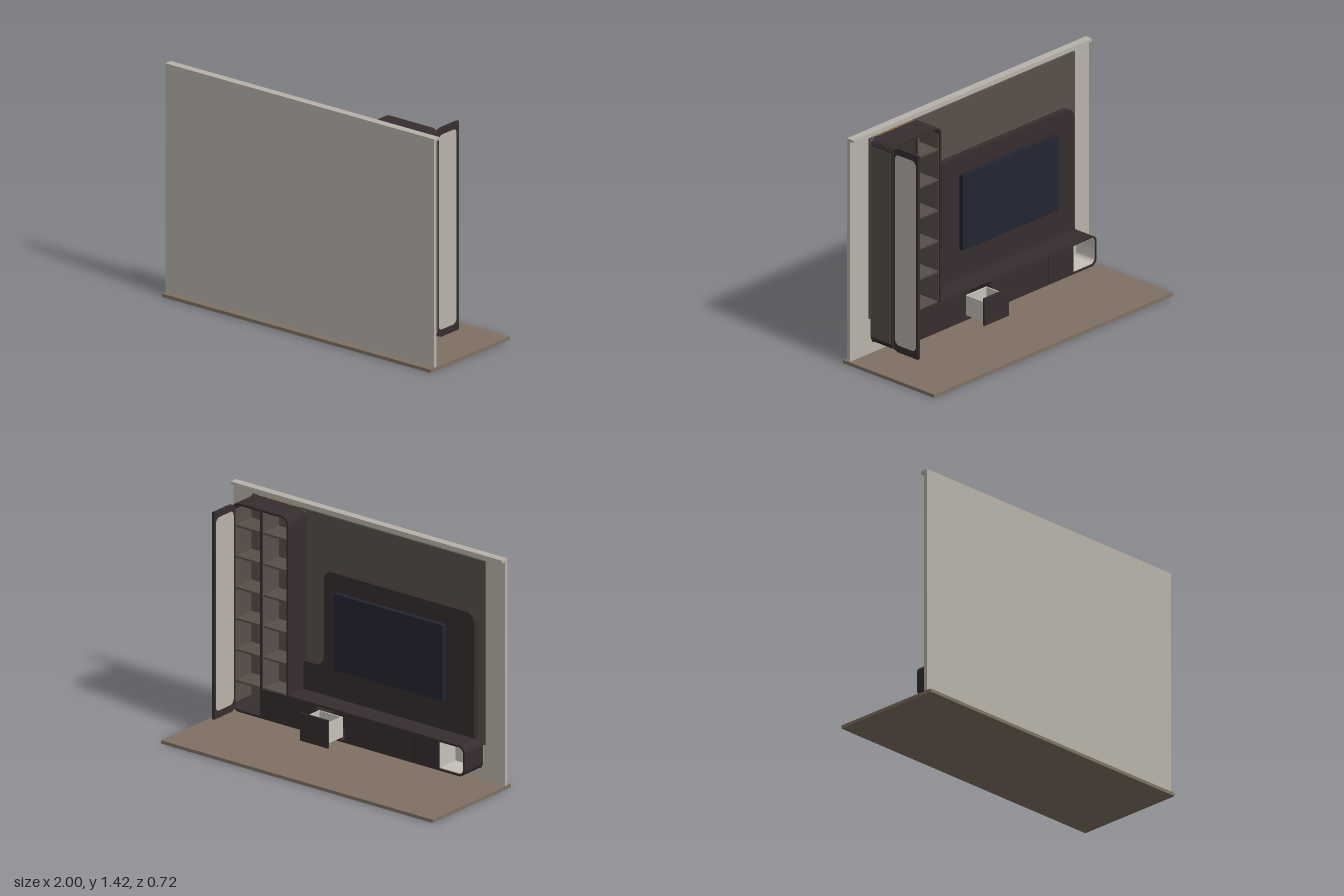
import * as THREE from 'three';
import { toCreasedNormals } from 'three/addons/utils/BufferGeometryUtils.js';

const mat = (name, color) => {
  const m = new THREE.MeshStandardMaterial({ color });
  m.name = name;
  return m;
};

// Rectangle with its own radius at each corner: lower-left, lower-right, upper-right, upper-left
function roundRect(x0, y0, x1, y1, [ll, lr, ur, ul], Kind = THREE.Shape) {
  const s = new Kind(), H = Math.PI / 2;
  s.moveTo(x0 + ll, y0);
  s.lineTo(x1 - lr, y0);
  if (lr) s.absarc(x1 - lr, y0 + lr, lr, -H, 0);
  s.lineTo(x1, y1 - ur);
  if (ur) s.absarc(x1 - ur, y1 - ur, ur, 0, H);
  s.lineTo(x0 + ul, y1);
  if (ul) s.absarc(x0 + ul, y1 - ul, ul, H, 2 * H);
  s.lineTo(x0, y0 + ll);
  if (ll) s.absarc(x0 + ll, y0 + ll, ll, 2 * H, 3 * H);
  return s;
}

// Hollow frame with wall thickness t
function ring(x0, y0, x1, y1, radii, t) {
  const s = roundRect(x0, y0, x1, y1, radii);
  const inner = radii.map(r => Math.max(r - t, 0));
  s.holes.push(roundRect(x0 + t, y0 + t, x1 - t, y1 - t, inner, THREE.Path));
  return s;
}

function extrude(shape, z0, z1) {
  const g = new THREE.ExtrudeGeometry(shape, { depth: z1 - z0, bevelEnabled: false, curveSegments: 10 });
  g.translate(0, 0, z0);
  return toCreasedNormals(g, 0.6);
}

export function createModel() {
  const root = new THREE.Group();
  root.name = 'wallUnit';
  const plaster = mat('plaster', 0xb8b2a9), floorWood = mat('floorWood', 0x7f7162);
  const dark = mat('darkWood', 0x362d2e), brown = mat('brownPanel', 0x574f49);
  const cream = mat('cream', 0xc6c1b8), screen = mat('screen', 0x222431);
  const glow = mat('warmStrip', 0xd9a441);

  const add = (name, geo, m, parent = root) => {
    const mesh = new THREE.Mesh(geo, m);
    mesh.name = name;
    parent.add(mesh);
    return mesh;
  };
  // Box from its lowest and highest corner
  const box = (name, m, x0, x1, y0, y1, z0, z1, parent) => {
    const g = new THREE.BoxGeometry(x1 - x0, y1 - y0, z1 - z0);
    g.translate((x0 + x1) / 2, (y0 + y1) / 2, (z0 + z1) / 2);
    return add(name, g, m, parent);
  };
  const group = name => {
    const g = new THREE.Group();
    g.name = name;
    root.add(g);
    return g;
  };

  // Room: floor, wall and the ledge along the top
  box('floor', floorWood, -1, 1, 0, 0.02, -0.36, 0.36);
  box('wall', plaster, -1, 1, 0.025, 1.425, 0.305, 0.33);
  box('wallLedge', plaster, -1, 1, 1.408, 1.425, 0.28, 0.305);
  box('backPanel', brown, -0.867, 0.85, 0.25, 1.385, 0.288, 0.3);

  // Screen backboard: a tall field with a low step beside the cabinet
  const b = new THREE.Shape(), H = Math.PI / 2;
  b.moveTo(-0.82, 0.285);
  b.lineTo(0.44, 0.285);
  b.lineTo(0.44, 0.465);
  b.lineTo(0.35, 0.465);
  b.absarc(0.35, 0.525, 0.06, -H, -Math.PI, true);
  b.lineTo(0.29, 1.0);
  b.absarc(0.23, 1.0, 0.06, 0, H);
  b.lineTo(-0.76, 1.06);
  b.absarc(-0.76, 1.0, 0.06, H, Math.PI);
  b.lineTo(-0.82, 0.285);
  add('screenBackboard', extrude(b, 0.25, 0.287), dark);
  box('television', screen, -0.63, 0.17, 0.49, 0.96, 0.195, 0.225);
  box('televisionMount', dark, -0.33, -0.13, 0.62, 0.83, 0.225, 0.25);

  // Tall cabinet
  const tall = group('tallCabinet');
  add('tallShell', extrude(ring(0.44, 0.1, 0.855, 1.39, [0.05, 0, 0.05, 0.05].map((r, i) => [0, 0.05, 0.05, 0.05][i]), 0.013), 0.11, 0.28), dark, tall);
  box('tallBack', brown, 0.45, 0.845, 0.11, 1.38, 0.268, 0.279, tall);
  box('sidePanel', brown, 0.85, 0.857, 0.145, 1.345, 0.12, 0.28, tall);
  box('innerSide', brown, 0.837, 0.843, 0.15, 1.34, 0.12, 0.27, tall);
  box('innerSide', brown, 0.452, 0.456, 0.29, 1.34, 0.12, 0.27, tall);
  box('divider', brown, 0.635, 0.65, 0.11, 1.38, 0.12, 0.27, tall);
  box('dividerEdge', dark, 0.635, 0.65, 0.11, 1.38, 0.112, 0.12, tall);
  for (let i = 0; i < 6; i++) {
    const y = 0.28 + i * 0.192;
    box('shelf', brown, 0.65, 0.842, y - 0.006, y + 0.006, 0.125, 0.27, tall);
    box('shelf', brown, 0.453, 0.635, y - 0.006, y + 0.006, 0.125, 0.27, tall);
  }
  box('lowerFront', dark, 0.442, 0.635, 0.108, 0.283, 0.11, 0.122, tall);

  // Open cabinet door, swung out square to the cabinet
  const door = group('openDoor');
  const frame = roundRect(-0.11, 0.105, 0.085, 1.385, [0.04, 0, 0, 0.04]);
  const paneRadii = [0.035, 0.035, 0.035, 0.035];
  frame.holes.push(roundRect(-0.1, 0.147, 0.07, 1.345, paneRadii, THREE.Path));
  add('doorFrame', extrude(frame, 0.829, 0.845), dark, door);
  add('doorPane', extrude(roundRect(-0.1, 0.147, 0.07, 1.345, paneRadii), 0.833, 0.841), plaster, door);
  door.rotation.y = Math.PI / 2;

  // Low console with a rounded end
  const low = group('console');
  const endRadii = [0.045, 0, 0, 0.045];
  add('consoleShell', extrude(ring(-0.86, 0.1, 0.44, 0.29, endRadii, 0.012), 0.11, 0.28), dark, low);
  box('consoleBack', dark, -0.85, 0.44, 0.11, 0.28, 0.268, 0.279, low);
  for (const x of [0.235, 0.025, -0.456, -0.665]) {
    box('partition', dark, x - 0.005, x + 0.005, 0.11, 0.28, 0.114, 0.27, low);
  }
  for (const [x0, x1] of [[0.238, 0.438], [-0.454, 0.022], [-0.665, -0.458]]) {
    box('consoleFront', dark, x0, x1, 0.108, 0.282, 0.108, 0.12, low);
  }
  // Cream lining of the open end bay
  add('bayLining', extrude(ring(-0.848, 0.112, -0.67, 0.278, [0.033, 0, 0, 0.033], 0.005), 0.116, 0.268), cream, low);
  box('bayBack', cream, -0.845, -0.672, 0.115, 0.275, 0.258, 0.267, low);

  // Pulled-out drawer
  const drawer = group('drawer');
  box('drawerFront', dark, 0.03, 0.235, 0.108, 0.28, -0.037, -0.026, drawer);
  box('drawerBase', cream, 0.05, 0.222, 0.125, 0.133, -0.026, 0.125, drawer);
  for (const x of [0.05, 0.215]) box('drawerSide', cream, x, x + 0.008, 0.125, 0.25, -0.026, 0.125, drawer);
  box('drawerInnerFront', cream, 0.05, 0.222, 0.125, 0.25, -0.026, -0.02, drawer);
  box('drawerBack', cream, 0.05, 0.222, 0.125, 0.25, 0.117, 0.125, drawer);

  // Warm light strips behind the furniture
  box('topLightStrip', glow, 0.49, 0.8, 1.382, 1.389, 0.281, 0.286);
  box('endLightStrip', glow, -0.859, -0.853, 0.145, 0.245, 0.281, 0.286);

  return root;
}
